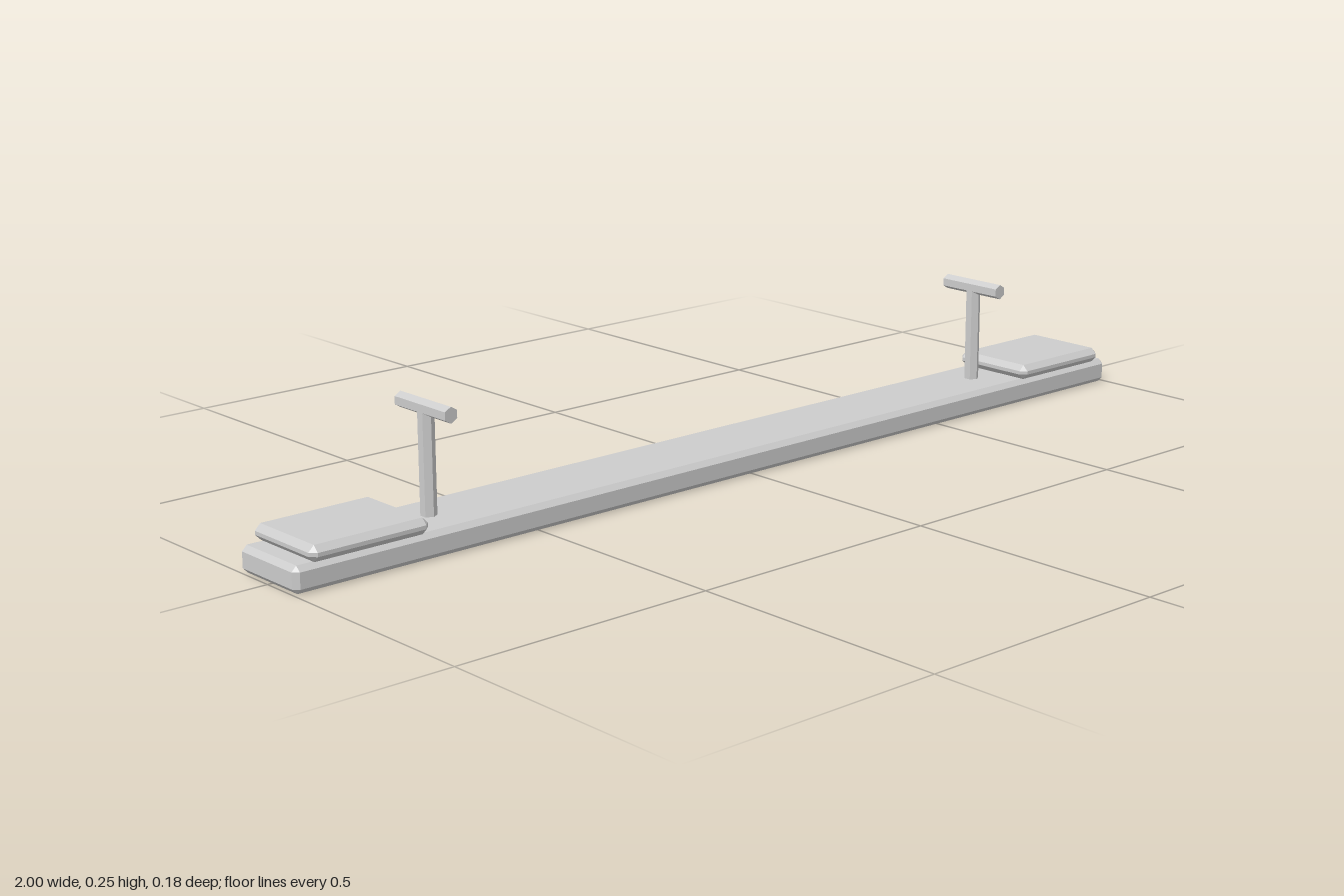
import * as THREE from 'three';
import { ConvexGeometry } from 'three/addons/geometries/ConvexGeometry.js';

// Box with every edge cut off by a single flat chamfer
function chamferBox(w, h, d, c) {
  const points = [];
  for (const sx of [-1, 1]) for (const sy of [-1, 1]) for (const sz of [-1, 1]) {
    const x = w / 2, y = h / 2, z = d / 2;
    points.push(
      new THREE.Vector3(sx * x, sy * (y - c), sz * (z - c)),
      new THREE.Vector3(sx * (x - c), sy * y, sz * (z - c)),
      new THREE.Vector3(sx * (x - c), sy * (y - c), sz * z));
  }
  return new ConvexGeometry(points);
}

export function createModel() {
  const model = new THREE.Group();
  model.name = 'seesaw';
  const grey = new THREE.MeshStandardMaterial({ color: 0xcccccc, flatShading: true });
  grey.name = 'light grey';

  function add(name, geometry, x, y, z) {
    const mesh = new THREE.Mesh(geometry, grey);
    mesh.name = name;
    mesh.position.set(x, y, z);
    model.add(mesh);
    return mesh;
  }

  // Long plank
  add('plank', chamferBox(2, 0.048, 0.163, 0.0095), 0, 0.024, 0);

  // A seat and a T-shaped handle at each end
  const seat = chamferBox(0.235, 0.029, 0.177, 0.011);
  const post = new THREE.CylinderGeometry(0.0145, 0.0145, 0.2, 6);
  const bar = new THREE.CylinderGeometry(0.0145, 0.0145, 0.141, 6).rotateX(Math.PI / 2);
  for (const [side, s] of [['left', 1], ['right', -1]]) {
    add(side + 'Seat', seat, s * 0.853, 0.0625, 0);
    add(side + 'HandlePost', post, s * 0.677, 0.135, 0);
    add(side + 'HandleBar', bar, s * 0.677, 0.237, 0);
  }
  return model;
}
